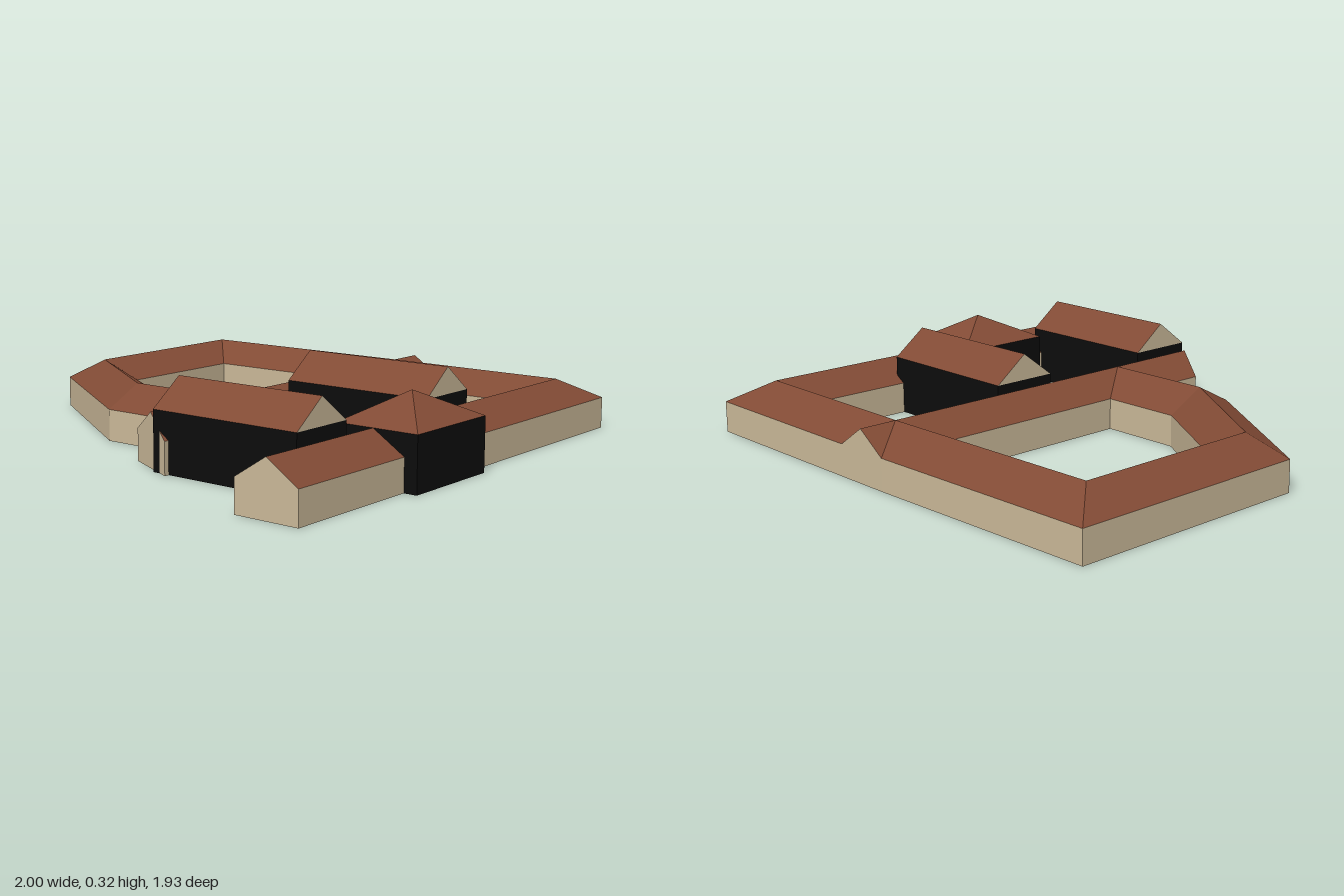
import * as THREE from 'three';

const EAVE = 0.12, RIDGE = 0.2;

const mat = (name, color) => {
  const m = new THREE.MeshStandardMaterial({ color, side: THREE.DoubleSide });
  m.name = name;
  return m;
};

// Flat-shaded mesh from convex polygons, each a loop of [x, y, z] corners
function faces(name, polygons, material) {
  const pos = [];
  for (const p of polygons)
    for (let i = 1; i < p.length - 1; i++) {
      const a = new THREE.Vector3(...p[0]), b = new THREE.Vector3(...p[i]), c = new THREE.Vector3(...p[i + 1]);
      const n = b.clone().sub(a).cross(c.clone().sub(a));
      // keep roof slopes facing up
      const tri = n.y < 0 ? [p[0], p[i + 1], p[i]] : [p[0], p[i], p[i + 1]];
      pos.push(...tri.flat());
    }
  const g = new THREE.BufferGeometry();
  g.setAttribute('position', new THREE.Float32BufferAttribute(pos, 3));
  g.computeVertexNormals();
  const mesh = new THREE.Mesh(g, material);
  mesh.name = name;
  return mesh;
}

const e = (x, z) => [x, EAVE, z];
const r = (x, z) => [x, RIDGE, z];

// Vertical wall panels along a line of eave corners
const wallRun = (pts) => pts.slice(1).map((b, i) => {
  const a = pts[i];
  return [[a[0], 0, a[2]], [b[0], 0, b[2]], b, a];
});
// Five-sided gable end wall
const gable = (a, top, b) => [[a[0], 0, a[2]], [b[0], 0, b[2]], b, top, a];

export function createModel() {
  const model = new THREE.Group();
  model.name = 'courtyardBuilding';
  const roof = mat('roofTileBrown', 0x824b35);
  const wall = mat('wallTan', 0xcbb999);
  const dark = mat('hallBlack', 0x0c0c0c);

  // Corners of the left court: outer eave, inner eave, ridge
  const A = e(-1, -0.95), B = e(-0.04, -0.97), C = e(-0.04, 0.43), D = e(-0.36, 0.43), E = e(-1, 0.02);
  const a = e(-0.73, -0.66), b = e(-0.04, -0.67), c = e(-0.04, 0.12), d = e(-0.36, 0.12), f = e(-0.73, -0.11);
  const r0 = r(-0.86, -0.8), r1 = r(-0.86, -0.05), r2 = r(-0.36, 0.275);
  // Middle wing: crossings, back gable and slanted front gable
  const X = r(0.075, -0.82), Y = r(0.075, 0.275), G = r(0.075, -0.97);
  const M = e(-0.04, 0.61), P = r(0.075, 0.665), N = e(0.19, 0.72);
  // Right court and right wing
  const K = e(0.19, -0.97), k = e(0.19, -0.67), L = e(0.95, -0.97), l = e(0.7, -0.67), R = r(0.825, -0.82);
  const S = e(0.7, 0.96), U = r(0.825, 0.96), T = e(0.95, 0.96);

  model.add(
    faces('leftCourtRoof', [
      [A, B, X, r0], [r0, X, b, a], [A, r0, r1, E], [r0, a, f, r1],
      [E, r1, r2, D], [r1, f, d, r2], [r2, d, c, Y], [D, r2, Y, C],
    ], roof),
    faces('middleWingRoof', [[B, G, X], [G, K, X], [X, b, c, Y], [Y, C, M, P], [X, P, N, k]], roof),
    faces('rightCourtRoof', [[K, L, R, X], [X, R, l, k], [R, L, T, U], [R, U, S, l]], roof),
    faces('outerWalls', [
      ...wallRun([B, A, E, D, C, M]), ...wallRun([K, L, T]),
      gable(B, G, K), gable(M, P, N), gable(S, U, T),
    ], wall),
    faces('leftCourtWalls', wallRun([a, b, c, d, f, a]), wall),
    faces('rightCourtWalls', wallRun([N, k, l, S]), wall),
  );

  // Box body reaching the ground
  const body = (name, x0, x1, z0, z1, h) => {
    const m = new THREE.Mesh(new THREE.BoxGeometry(x1 - x0, h, z1 - z0), dark);
    m.position.set((x0 + x1) / 2, h / 2, (z0 + z1) / 2);
    m.name = name;
    return m;
  };

  // Two tall halls crossing the right court
  for (const [name, z0, z1] of [['frontHall', 0.435, 0.7], ['backHall', -0.31, -0.045]]) {
    const x0 = 0.12, x1 = 0.74, h = 0.22, top = 0.32, zm = (z0 + z1) / 2;
    const hall = new THREE.Group();
    hall.name = name;
    hall.add(
      body('hallBody', x0, x1, z0, z1, h),
      faces('hallRoof', [z0, z1].map((z) => [[x0, h, z], [x1, h, z], [x1, top, zm], [x0, top, zm]]), roof),
      faces('hallGables', [x0, x1].map((x) => [[x, h, z0], [x, h, z1], [x, top, zm]]), wall),
    );
    model.add(hall);
  }

  // Gate pavilion with a pyramid roof over the right wing
  const x0 = 0.675, x1 = 1, z0 = -0.01, z1 = 0.405, h = 0.2;
  const corners = [[x0, h, z0], [x1, h, z0], [x1, h, z1], [x0, h, z1]];
  const apex = [(x0 + x1) / 2, 0.3, (z0 + z1) / 2];
  const pavilion = new THREE.Group();
  pavilion.name = 'pavilion';
  pavilion.add(
    body('pavilionBody', x0, x1, z0, z1, h),
    faces('pavilionRoof', corners.map((p, i) => [p, corners[(i + 1) % 4], apex]), roof),
  );
  model.add(pavilion);

  return model;
}
